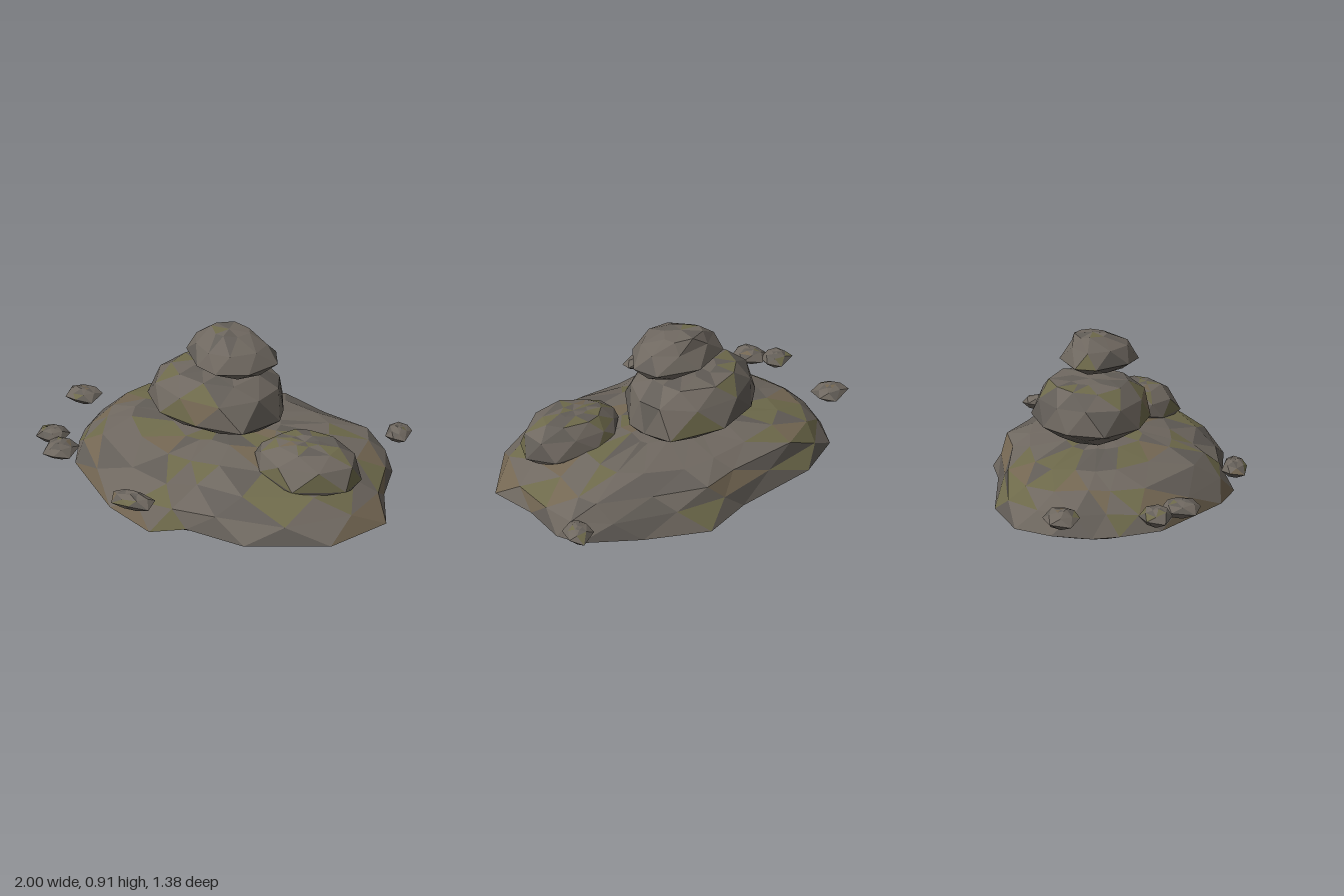
import * as THREE from 'three';

// grey, dark grey, olive moss, tan lichen
const tones = [0x6f6860, 0x625d57, 0x6e6a4b, 0x746753].map(
  (color) => new THREE.MeshStandardMaterial({ color, flatShading: true, roughness: 1 }));

function seeded(seed) {
  return () => {
    seed = (seed * 16807) % 2147483647;
    return seed / 2147483647;
  };
}

// Faceted stone: a plan outline [x, z, rim drop, bulge above the rim] scaled about a centre
// into stacked rings [scale, y, dx, dz]. Each ring turns half a step so the facets interlock.
function stone(name, { centre, outline, rings, rough = 0.006, moss = 0.15, seed = 1 }) {
  const rand = seeded(seed * 7919 + 17);
  for (let i = 0; i < 5; i++) rand();
  const n = outline.length;
  const rim = rings.findIndex((r) => r[0] === 1);

  const plan = (t) => {
    const u = ((t % n) + n) % n, i = Math.floor(u), f = u - i;
    const [ax, az, ad = 0, ab = 0] = outline[i];
    const [bx, bz, bd = 0, bb = 0] = outline[(i + 1) % n];
    return [ax + (bx - ax) * f, az + (bz - az) * f, ad + (bd - ad) * f, ab + (bb - ab) * f];
  };

  const loops = rings.map(([s, y, dx = 0, dz = 0], k) =>
    Array.from({ length: n }, (_, i) => {
      // twist back and forth so upper rings stay aligned with the plan
      const [px, pz, drop, bulge] = plan(i + (k - rim) * 0.5);
      const free = k !== rim && s > 0 ? 1 : 0;
      const swell = k > rim ? bulge : 0;
      const r = s * (1 + swell + free * (rand() - 0.5) * rough * 5);
      const lift = free * (rand() - 0.5) * 2 * rough * (k < rim ? 0.3 : 1);
      const sink = k > rim ? 0 : drop * s * s;
      return new THREE.Vector3(
        centre[0] + (px - centre[0]) * r + dx, Math.max(0, y + lift - sink),
        centre[1] + (pz - centre[1]) * r + dz);
    }));

  // facets sorted into one bucket per tone
  const buckets = tones.map(() => []);
  const facet = (a, b, c, upper) => {
    if (a.equals(b) || b.equals(c) || a.equals(c)) return;
    const t = rand();
    const tone = upper && t < moss ? 2 : upper && t < moss * 1.4 ? 3 : t > 0.75 ? 1 : 0;
    for (const v of [a, b, c]) buckets[tone].push(v.x, v.y, v.z);
  };
  for (let k = 0; k < loops.length - 1; k++) {
    const lo = loops[k], hi = loops[k + 1];
    for (let i = 0; i < n; i++) {
      const j = (i + 1) % n;
      facet(lo[i], hi[i], lo[j], k >= rim);
      facet(hi[i], hi[j], lo[j], k >= rim);
    }
  }

  const geometry = new THREE.BufferGeometry();
  let start = 0;
  buckets.forEach((b, tone) => {
    geometry.addGroup(start, b.length / 3, tone);
    start += b.length / 3;
  });
  geometry.setAttribute('position', new THREE.Float32BufferAttribute(buckets.flat(), 3));
  geometry.computeVertexNormals();
  const mesh = new THREE.Mesh(geometry, tones);
  mesh.name = name;
  return mesh;
}

// Small loose chunk of rock with a blocky six-sided plan
function pebble(x, z, rx, rz, turn, seed) {
  const corners = [[1, -0.4], [0.8, 0.75], [-0.1, 1], [-0.95, 0.6], [-1, -0.5], [0.25, -1]];
  const outline = corners.map(([u, v], i) =>
    [x + u * rx * turn, z + v * rz, i % 2 ? 0.008 : -0.008]);
  if (turn < 0) outline.reverse();
  return stone('pebble', {
    centre: [x, z], outline, seed, moss: 0.1,
    rings: [[0, 0.214], [0.66, 0.218], [1, 0.25], [0.78, 0.28], [0.3, 0.294], [0, 0.294]],
  });
}

export function createModel() {
  const group = new THREE.Group();
  group.name = 'stackedStones';

  // Broad base slab, shallow underneath, with steeper walls at its corners
  group.add(stone('baseStone', {
    centre: [0.04, -0.03],
    outline: [
      [0.22, -0.69, 0.03], [0.55, -0.58, 0.01, 0.02], [0.83, -0.44, 0, 0.06], [0.9, -0.33, 0, 0.06],
      [0.92, -0.1, 0, 0.03], [1, 0.14], [0.8, 0.43, 0, 0.03], [0.4, 0.595, 0, 0.01], [0.08, 0.575],
      [-0.1, 0.63, 0.03], [-0.36, 0.55, 0, 0.03], [-0.72, 0.25, 0, 0.05], [-0.8, 0.05, 0, 0.02],
      [-0.83, -0.08], [-0.8, -0.28, 0, 0.02], [-0.72, -0.46, 0, 0.04], [-0.47, -0.59, 0, 0.02],
      [-0.02, -0.63, 0.01],
    ],
    rings: [
      [0, 0, 0, -0.1], [0.3, 0.004, 0, -0.1], [0.58, 0.024, 0, -0.04], [0.87, 0.066], [1, 0.115],
      [0.93, 0.205], [0.8, 0.29, 0, -0.035], [0.6, 0.338, -0.02, -0.06],
      [0.32, 0.364, -0.02, -0.04], [0, 0.37, -0.02, -0.04],
    ],
    rough: 0.008, moss: 0.22, seed: 3,
  }));

  // Middle stone of the stack, its underside dipping to the left
  group.add(stone('middleStone', {
    centre: [-0.05, -0.13],
    outline: [
      [-0.02, -0.445], [0.25, -0.36, 0.03], [0.31, -0.21, 0.045], [0.33, -0.1, 0.045], [0.21, 0.14, 0.02],
      [-0.03, 0.185], [-0.26, 0.13], [-0.41, -0.04], [-0.37, -0.23], [-0.25, -0.36],
    ],
    rings: [
      [0, 0.385, -0.02], [0.55, 0.39, -0.02], [0.9, 0.435, 0.01], [1, 0.475],
      [0.95, 0.595], [0.65, 0.667, 0, -0.01], [0.35, 0.676], [0, 0.678],
    ],
    moss: 0.07, seed: 5,
  }));

  // Cap stone hovering just above the stack
  group.add(stone('topStone', {
    centre: [0.05, -0.09],
    outline: [
      [0.03, -0.295], [0.25, -0.235], [0.305, -0.11], [0.21, 0.055], [0.05, 0.12],
      [-0.07, 0.07], [-0.2, -0.09], [-0.18, -0.2],
    ],
    rings: [
      [0, 0.706, 0.04], [0.72, 0.71, 0.03, -0.01], [1, 0.763], [0.83, 0.842, -0.01], [0.42, 0.897, -0.02, -0.04],
      [0, 0.907, -0.02, -0.03],
    ],
    moss: 0.04, seed: 8,
  }));

  // Stone resting on the slab's left front
  group.add(stone('sideStone', {
    centre: [0.56, 0.13],
    outline: [
      [0.51, -0.085], [0.74, -0.05, 0.02], [0.84, 0.08, 0.03], [0.8, 0.22, 0.03], [0.56, 0.35, 0.015],
      [0.35, 0.25], [0.28, 0.14, -0.03], [0.3, 0.06, -0.04], [0.39, -0.05, -0.03],
    ],
    rings: [
      [0, 0.27], [0.6, 0.275], [0.93, 0.3], [1, 0.335], [0.94, 0.412],
      [0.58, 0.468, -0.01, -0.02], [0.28, 0.477, -0.02, -0.02], [0, 0.477, -0.02, -0.02],
    ],
    moss: 0.22, seed: 11,
  }));

  // Loose pebbles around the slab: x, z, half width, half depth, handedness
  [
    [-0.9, -0.22, 0.1, 0.09, 1], [-0.86, 0.22, 0.088, 0.08, 1], [-0.753, 0.335, 0.088, 0.1, -1],
    [-0.195, 0.62, 0.115, 0.067, -1], [0.875, -0.51, 0.065, 0.087, 1],
  ].forEach(([x, z, rx, rz, turn], i) => group.add(pebble(x, z, rx, rz, turn, 20 + i)));

  return group;
}
